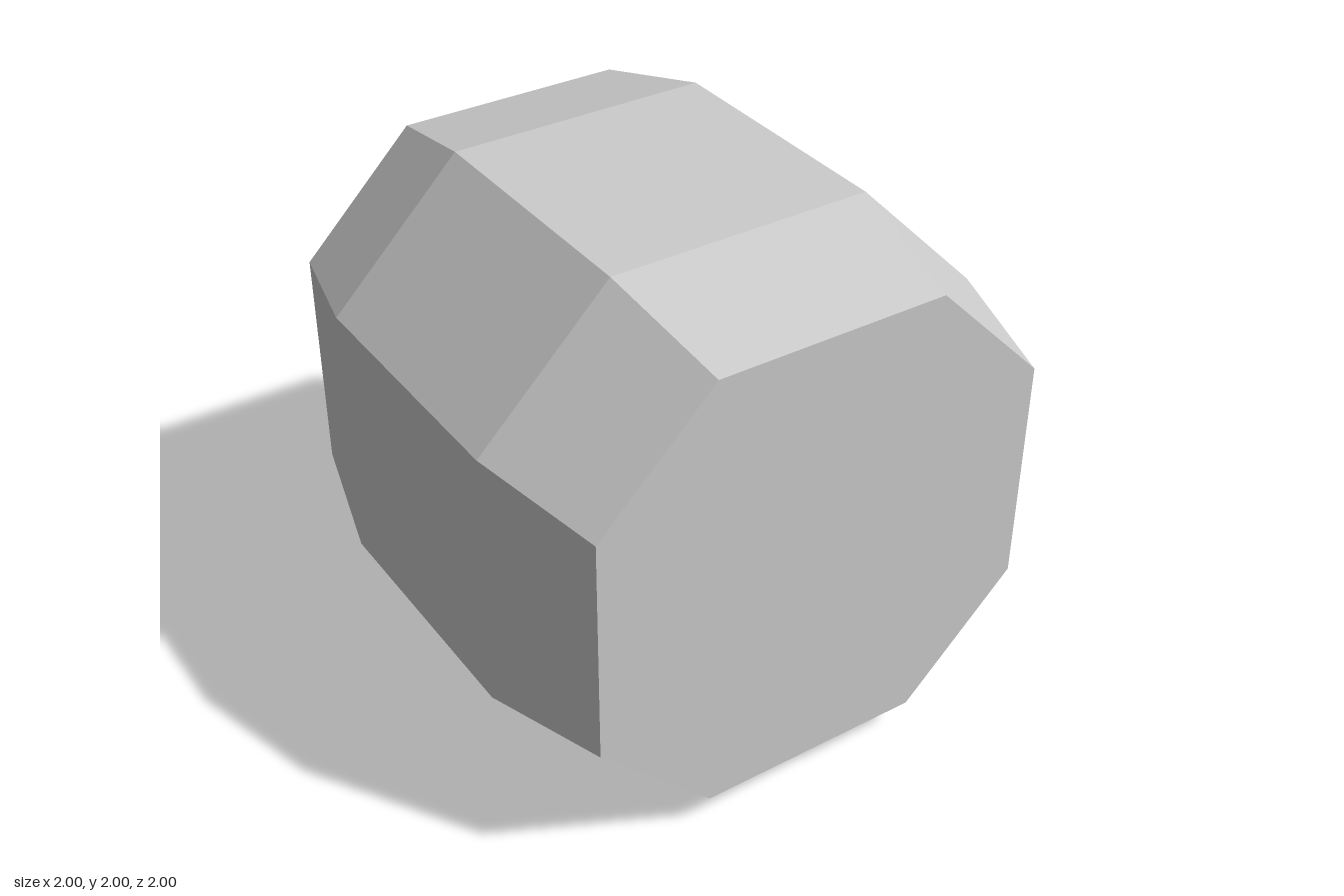
import * as THREE from 'three';

// Octagon corners, counter-clockwise seen from +z
const OCTAGON = [[1, -0.5], [1, 0.5], [0.5, 1], [-0.5, 1], [-1, 0.5], [-1, -0.5], [-0.5, -1], [0.5, -1]];
// Cross-sections along the axis: [z, scale]
const SECTIONS = [[-1, 0.875], [-0.5, 1], [0.5, 1], [1, 0.875]];

function loftGeometry(outline, sections) {
  const n = outline.length;
  const positions = [];
  const index = [];
  for (const [z, s] of sections) {
    for (const [x, y] of outline) positions.push(x * s, y * s, z);
  }
  // Side staves
  for (let k = 0; k < sections.length - 1; k++) {
    for (let i = 0; i < n; i++) {
      const j = (i + 1) % n;
      const a = k * n + i, b = k * n + j;
      index.push(a, b, b + n, a, b + n, a + n);
    }
  }
  // Flat end caps
  const last = (sections.length - 1) * n;
  for (let i = 1; i < n - 1; i++) {
    index.push(0, i + 1, i);
    index.push(last, last + i, last + i + 1);
  }
  const indexed = new THREE.BufferGeometry();
  indexed.setAttribute('position', new THREE.Float32BufferAttribute(positions, 3));
  indexed.setIndex(index);
  const geometry = indexed.toNonIndexed();
  geometry.computeVertexNormals();
  return geometry;
}

export function createModel() {
  const group = new THREE.Group();
  group.name = 'barrel';
  const material = new THREE.MeshStandardMaterial({ color: 0xcccccc, flatShading: true });

  // Barrel lying on its side, tapered towards both ends
  const body = new THREE.Mesh(loftGeometry(OCTAGON, SECTIONS), material);
  body.name = 'barrelBody';
  body.position.y = 1;
  group.add(body);
  return group;
}
